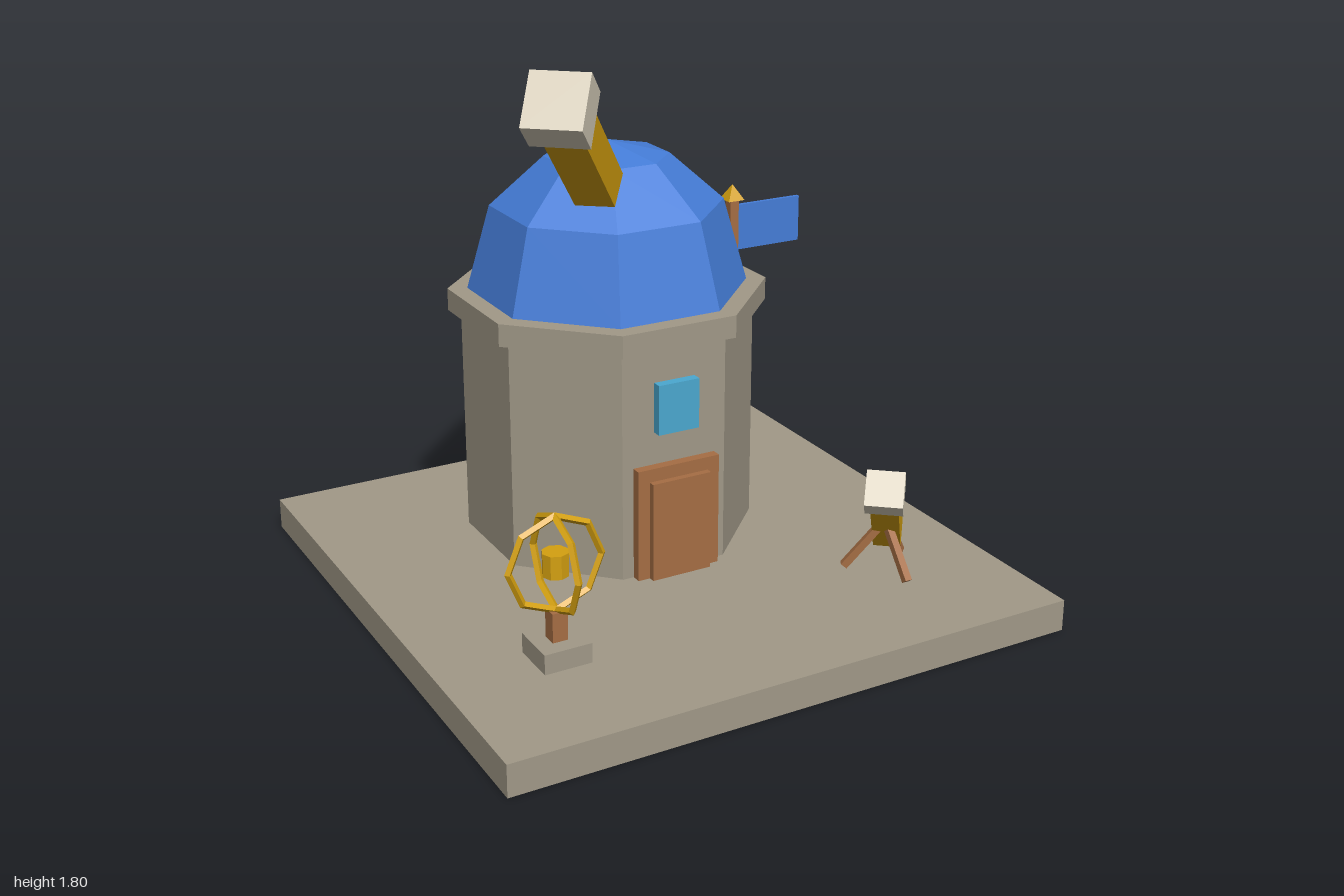
import * as THREE from 'three';

const paint = (name, color, side = THREE.FrontSide) => {
  const m = new THREE.MeshStandardMaterial({ color, side, flatShading: true });
  m.name = name;
  return m;
};

export function createModel() {
  const stone = paint('stone', 0xa19988, THREE.DoubleSide);
  const cream = paint('cream', 0xd6cdb9);
  const blue = paint('blue', 0x457dd8, THREE.DoubleSide);
  const gold = paint('gold', 0xd4a010);
  const wood = paint('wood', 0xa66e44);
  const glass = paint('glass', 0x4ba8d0);

  const model = new THREE.Group();
  model.name = 'observatory';

  const add = (name, geometry, material, x = 0, y = 0, z = 0, parent = model) => {
    const mesh = new THREE.Mesh(geometry, material);
    mesh.name = name;
    mesh.position.set(x, y, z);
    parent.add(mesh);
    return mesh;
  };
  // Box given by its limits on each axis
  const block = (name, material, [x0, x1], [y0, y1], [z0, z1], parent = model) =>
    add(name, new THREE.BoxGeometry(x1 - x0, y1 - y0, z1 - z0), material,
      (x0 + x1) / 2, (y0 + y1) / 2, (z0 + z1) / 2, parent);
  // Square bar running from a to b
  const bar = (name, material, width, a, b, parent = model) => {
    const mid = a.clone().lerp(b, 0.5);
    const mesh = add(name, new THREE.BoxGeometry(width, width, a.distanceTo(b)), material,
      mid.x, mid.y, mid.z, parent);
    mesh.lookAt(b);
    return mesh;
  };
  const group = (name) => {
    const g = new THREE.Group();
    g.name = name;
    model.add(g);
    return g;
  };
  const V = (x, y, z) => new THREE.Vector3(x, y, z);

  // Ground slab, hollow underneath: the bottom face is left out
  const slab = new THREE.BoxGeometry(1.93, 0.105, 1.93);
  slab.setIndex([...slab.index.array].filter((_, i) => i < 18 || i >= 24));
  slab.clearGroups();
  add('groundSlab', slab, stone, -0.035, 0.0525, 0);

  // Octagonal tower, ledge and faceted dome
  const cx = -0.036, cz = -0.284, turn = Math.PI / 8, toCorner = 1 / Math.cos(turn);
  const octagon = (name, apothem, y0, y1) => add(name,
    new THREE.CylinderGeometry(apothem * toCorner, apothem * toCorner, y1 - y0, 8, 1, false, turn),
    stone, cx, (y0 + y1) / 2, cz);
  octagon('towerWall', 0.451, 0.105, 0.88);
  octagon('towerLedge', 0.49, 0.88, 0.955);
  const profile = [[0.465, 0.955], [0.386, 1.235], [0.206, 1.395], [0, 1.445]];
  add('dome', new THREE.LatheGeometry(profile.map((p) => new THREE.Vector2(...p)), 8, turn),
    blue, cx, 0, cz);

  // Door and window
  block('doorFrame', wood, [-0.184, 0.112], [0.105, 0.487], [0.15, 0.2]);
  block('doorPanel', wood, [-0.142, 0.07], [0.105, 0.443], [0.16, 0.222]);
  block('window', glass, [-0.109, 0.037], [0.597, 0.765], [0.15, 0.2]);

  // Telescopes: tube with a wider end cap, pointing from tail to tip
  const telescope = (name, tail, tip, tubeWidth, capWidth, capLength) => {
    const g = group(name);
    const capStart = tip.clone().lerp(tail, capLength / tip.distanceTo(tail));
    bar('telescopeTube', gold, tubeWidth, tail, capStart, g);
    bar('telescopeCap', cream, capWidth, capStart, tip, g);
    return g;
  };
  telescope('domeTelescope', V(-0.14, 1.308, -0.115), V(-0.487, 1.73, 0.28), 0.13, 0.185, 0.12);
  const small = telescope('yardTelescope', V(0.632, 0.18, 0.425), V(0.447, 0.47, 0.648),
    0.09, 0.121, 0.07);
  for (let i = 0; i < 3; i++) {
    const a = i * Math.PI * 2 / 3;
    bar('tripodLeg', wood, 0.024, V(0.555, 0.285, 0.512),
      V(0.555 + 0.13 * Math.sin(a), 0.12, 0.512 + 0.13 * Math.cos(a)), small);
  }

  // Armillary sphere on its pedestal
  const ax = -0.628, ay = 0.415, az = 0.513;
  const armillary = group('armillarySphere');
  block('pedestal', stone, [ax - 0.078, ax + 0.078], [0.105, 0.17], [az - 0.078, az + 0.078], armillary);
  block('post', wood, [ax - 0.025, ax + 0.025], [0.17, 0.265], [az - 0.025, az + 0.025], armillary);
  for (const spin of [0, Math.PI / 2]) {
    add('ring', new THREE.TorusGeometry(0.152, 0.012, 4, 8), gold, ax, ay, az, armillary)
      .rotation.y = spin;
  }
  add('core', new THREE.CylinderGeometry(0.042, 0.042, 0.075, 8), gold, ax, 0.417, az, armillary);

  // Flagpole with finial and flag
  const flagpole = group('flagpole');
  block('pole', wood, [0.694, 0.73], [0.105, 1.04], [-0.744, -0.708], flagpole);
  add('finial', new THREE.ConeGeometry(0.047, 0.057, 4, 1, false, Math.PI / 4), gold,
    0.712, 1.064, -0.726, flagpole);
  block('flag', blue, [0.73, 1], [0.84, 1.012], [-0.734, -0.718], flagpole);

  return model;
}
